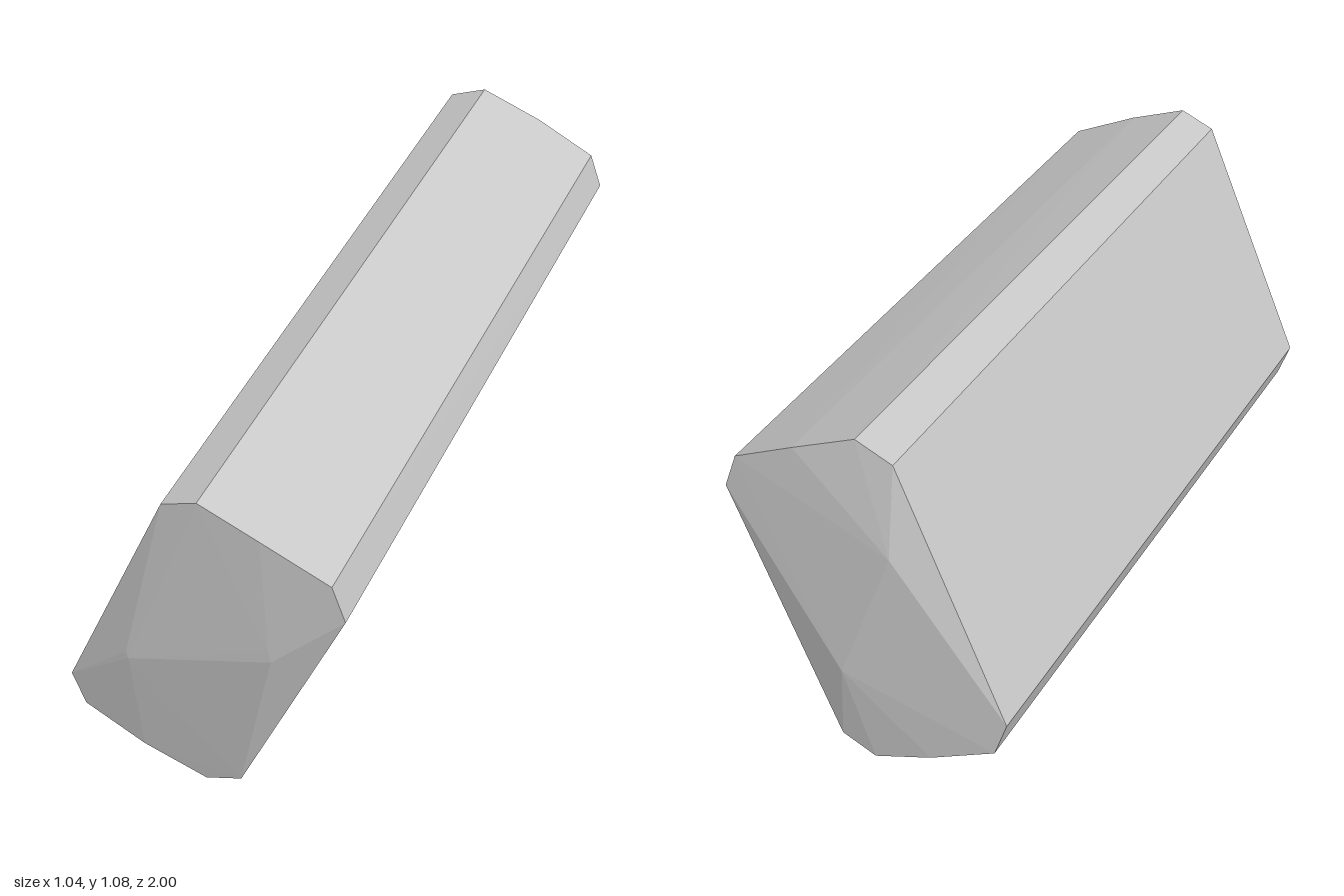
import * as THREE from 'three';
import { ConvexGeometry } from 'three/addons/geometries/ConvexGeometry.js';

const CENTRE_Y = 0.54;

// Chamfered outline of the front end, clockwise from the upper left corner
const frontRim = [
  [0.07, 0.91, 0.983], [0.165, 0.945, 0.975], [0.32, 0.88, 0.953], [0.49, 0.795, 0.918],
  [0.52, 0.695, 0.908], [0.21, 0.04, 0.905], [0.11, 0.002, 0.915], [-0.05, 0.073, 0.952],
  [-0.21, 0.155, 0.975], [-0.24, 0.25, 0.985],
];

// Shallow ridges across the bulging end faces: crosswise in front, lengthwise behind
const frontRidge = [
  [-0.05, 0.42, 1.0], [-0.045, 0.4, 1.0], [0.335, 0.555, 0.953], [0.34, 0.525, 0.952],
];
const backRidge = [[-0.226, 0.8, -0.957], [-0.095, 0.41, -1.0]];

export function createModel() {
  const group = new THREE.Group();
  const stone = new THREE.MeshStandardMaterial({ color: 0xc8c8c8 });
  stone.name = 'light stone grey';
  stone.flatShading = true;

  // The far rim is the near rim mirrored through the centre of the block
  const toPoint = ([x, y, z]) => new THREE.Vector3(x, y - CENTRE_Y, z);
  const rim = frontRim.map(toPoint);
  const points = [
    ...rim,
    ...rim.map((p) => p.clone().negate()),
    ...[...frontRidge, ...backRidge].map(toPoint),
  ];

  const block = new THREE.Mesh(new ConvexGeometry(points), stone);
  block.name = 'stoneBlock';
  block.position.y = CENTRE_Y;
  group.add(block);
  return group;
}
